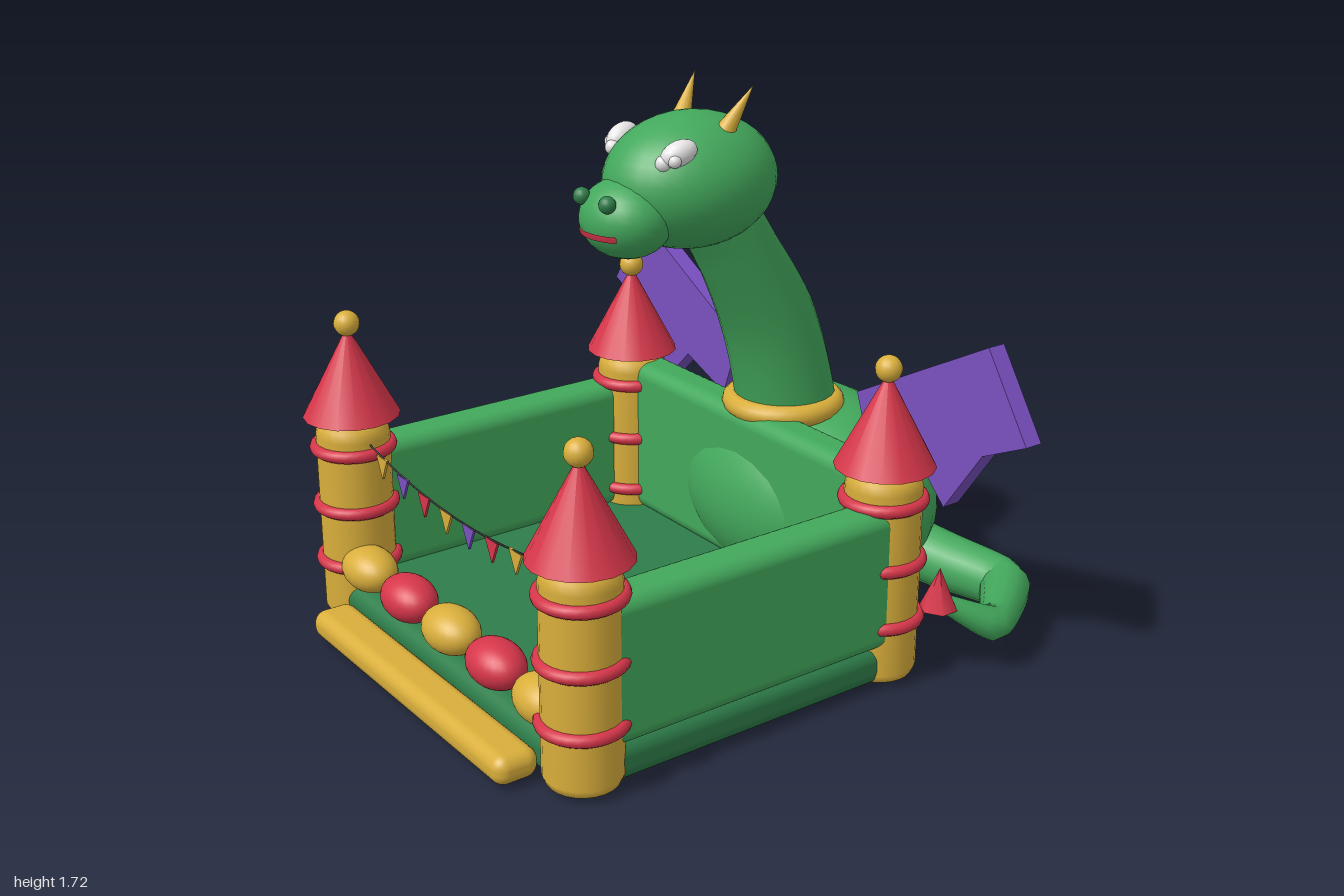
import * as THREE from 'three';
import { RoundedBoxGeometry } from 'three/addons/geometries/RoundedBoxGeometry.js';

const material = (name, color, side = THREE.FrontSide) => {
  const m = new THREE.MeshStandardMaterial({ color, side });
  m.name = name;
  return m;
};

const V = (x, y, z) => new THREE.Vector3(x, y, z);

// Tube along a curve whose radius changes evenly between the given values
function taperTube(points, radii, tension, rings, sides) {
  const curve = new THREE.CatmullRomCurve3(points, false, 'catmullrom', tension);
  const geo = new THREE.TubeGeometry(curve, rings, 1, sides);
  const pos = geo.attributes.position, nor = geo.attributes.normal;
  for (let i = 0; i < pos.count; i++) {
    const u = Math.floor(i / (sides + 1)) / rings;
    const t = u * (radii.length - 1), k = Math.min(Math.floor(t), radii.length - 2);
    const r = THREE.MathUtils.lerp(radii[k], radii[k + 1], t - k);
    const c = curve.getPointAt(u);
    pos.setXYZ(i, c.x + nor.getX(i) * r, c.y + nor.getY(i) * r, c.z + nor.getZ(i) * r);
  }
  return geo;
}

export function createModel() {
  const model = new THREE.Group();
  const green = material('green', 0x43a85c);
  const darkGreen = material('dark green', 0x2e7d4a);
  const gold = material('gold', 0xd9ae3b);
  const red = material('red', 0xd6364a);
  const purple = material('purple', 0x7a50c0);
  const white = material('white', 0xe6e4e4);
  const cord = material('cord', 0x333333);

  const add = (name, geo, mat, x = 0, y = 0, z = 0, parent = model) => {
    const mesh = new THREE.Mesh(geo, mat);
    mesh.name = name;
    mesh.position.set(x, y, z);
    parent.add(mesh);
    return mesh;
  };
  const box = (name, mat, w, h, d, r, x, y, z) =>
    add(name, new RoundedBoxGeometry(w, h, d, 4, r), mat, x, y, z);
  const ball = (name, mat, rx, ry, rz, x, y, z, seg = 24) =>
    add(name, new THREE.SphereGeometry(1, seg, Math.ceil(seg * 0.67)).scale(rx, ry, rz), mat, x, y, z);

  // Inflated floor, walls and entrance step
  box('floor', darkGreen, 1.44, 0.13, 1.23, 0.05, 0, 0.075, 0.195);
  for (const s of [-1, 1]) box('sideWall', green, 0.14, 0.44, 1.06, 0.045, s * 0.663, 0.35, 0.196);
  box('backWall', green, 1.27, 0.52, 0.14, 0.045, 0, 0.39, -0.355);
  box('entranceStep', gold, 1.11, 0.09, 0.14, 0.04, 0, 0.055, 0.875);

  // Row of bumps behind the step
  for (let i = -2; i <= 2; i++)
    ball('entranceBump', i % 2 ? red : gold, 0.11, 0.07, 0.08, i * 0.25, 0.21, 0.76);

  // Corner towers
  const profile = [[0, 0.01], [0.085, 0.01], [0.104, 0.02], [0.115, 0.045], [0.115, 0.615],
    [0.108, 0.645], [0.09, 0.665], [0.06, 0.675], [0, 0.675]].map(p => new THREE.Vector2(...p));
  const column = new THREE.LatheGeometry(profile, 24);
  const ring = new THREE.TorusGeometry(0.115, 0.02, 10, 28).rotateX(Math.PI / 2);
  const roof = new THREE.ConeGeometry(0.15, 0.285, 16);
  const finial = new THREE.SphereGeometry(0.04, 16, 12);
  for (const x of [-0.635, 0.635]) for (const z of [-0.333, 0.725]) {
    const tower = new THREE.Group();
    tower.name = 'tower';
    tower.position.set(x, 0, z);
    model.add(tower);
    add('column', column, gold, 0, 0, 0, tower);
    for (const y of [0.2, 0.385, 0.575]) add('towerRing', ring, red, 0, y, 0, tower);
    add('towerRoof', roof, red, 0, 0.818, 0, tower);
    add('finial', finial, gold, 0, 0.97, 0, tower);
  }

  // Bunting: sagging cord and thin flags
  const sag = x => 0.55 + 0.21 * x * x;
  const cordPoints = [];
  for (let i = -4; i <= 4; i++) cordPoints.push(V(i * 0.145, sag(i * 0.145), 0.725));
  add('buntingCord', new THREE.TubeGeometry(new THREE.CatmullRomCurve3(cordPoints), 24, 0.003, 6), cord);
  const flagShape = new THREE.Shape([[-0.033, 0], [0, -0.07], [0.033, 0]].map(p => new THREE.Vector2(...p)));
  const flag = new THREE.ExtrudeGeometry(flagShape, { depth: 0.008, bevelEnabled: false }).translate(0, 0, -0.004);
  for (let i = 0; i < 8; i++) {
    const x = (i - 3.5) * 0.127;
    add('buntingFlag', flag, [gold, purple, red][i % 3], x, sag(x), 0.725);
  }

  // Dragon body, neck and collar
  ball('body', green, 0.48, 0.335, 0.358, 0, 0.335, -0.588, 32);
  add('neck', taperTube([V(0, 0.5, -0.5), V(0, 0.7, -0.475), V(0, 0.95, -0.4), V(0, 1.2, -0.265),
    V(0, 1.36, -0.16)], [0.165, 0.157, 0.148, 0.128, 0.12], 0.5, 24, 24), green);
  add('collar', new THREE.TorusGeometry(0.16, 0.035, 12, 32).rotateX(Math.PI / 2), gold, 0, 0.652, -0.475);

  // Head and snout
  ball('head', green, 0.225, 0.203, 0.278, 0, 1.428, -0.1, 32);
  ball('snout', green, 0.147, 0.12, 0.137, 0, 1.348, 0.128);
  add('mouth', new THREE.SphereGeometry(1, 16, 3, Math.PI / 2 - 0.72, 1.44, 1.75, 0.17)
    .scale(0.151, 0.124, 0.142), red, 0, 1.348, 0.128).material = red;

  // Paired face details and wings
  const wingShape = new THREE.Shape([[0.295, 0.755], [0.37, 0.55], [0.57, 0.63], [0.69, 0.51],
    [0.835, 0.72], [1, 0.8], [0.835, 1.05]].map(p => new THREE.Vector2(...p)));
  for (const s of [-1, 1]) {
    ball('nostril', darkGreen, 0.026, 0.026, 0.026, s * 0.065, 1.415, 0.24, 16);
    const eye = ball('eye', white, 0.036, 0.038, 0.058, s * 0.14, 1.55, 0.045, 16);
    eye.rotation.set(0.35, -s * 0.2, 0);
    ball('eyeHighlight', white, 0.024, 0.024, 0.024, s * 0.125, 1.525, 0.088, 12);
    ball('eyeHighlight', white, 0.02, 0.02, 0.02, s * 0.158, 1.535, 0.072, 12);

    const from = V(s * 0.105, 1.575, -0.14), to = V(s * 0.14, 1.715, -0.222);
    const dir = to.clone().sub(from);
    const mid = from.clone().add(to).multiplyScalar(0.5);
    const horn = add('horn', new THREE.ConeGeometry(0.033, dir.length(), 14), gold, mid.x, mid.y, mid.z);
    horn.quaternion.setFromUnitVectors(V(0, 1, 0), dir.normalize());

    const wing = new THREE.ExtrudeGeometry(wingShape, { depth: 0.06, bevelEnabled: false });
    if (s < 0) wing.rotateY(Math.PI).translate(0, 0, 0.06);
    add('wing', wing, purple, 0, 0, -0.583);
  }

  // Tail with a red tip
  add('tail', taperTube([V(0.25, 0.2, -0.72), V(0.46, 0.17, -0.785), V(0.66, 0.155, -0.835),
    V(0.82, 0.15, -0.63), V(0.735, 0.235, -0.48)], [0.1, 0.092, 0.08, 0.058, 0.025], 0.2, 28, 14), green);
  add('tailTip', new THREE.ConeGeometry(0.058, 0.13, 6), red, 0.74, 0.28, -0.475);

  return model;
}
